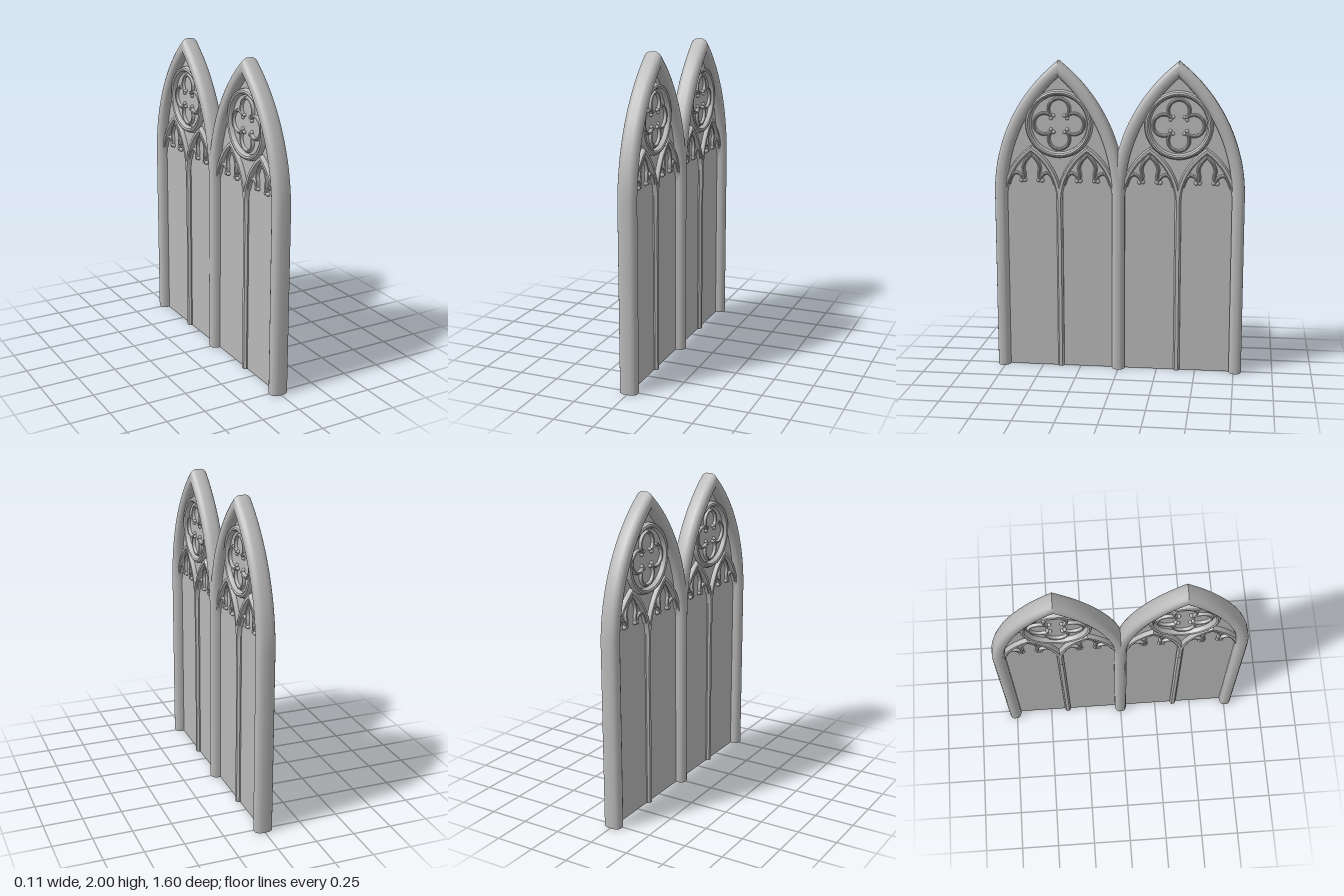
import * as THREE from 'three';
import { toCreasedNormals } from 'three/addons/utils/BufferGeometryUtils.js';

const V = (x, y) => new THREE.Vector2(x, y);

// Sweep a convex profile of (sideways, depth) points along a flat path with mitred corners
function sweep(path, profile, closed = false) {
  const n = path.length, m = profile.length, pos = [], idx = [];
  for (let i = 0; i < n; i++) {
    const p = path[i];
    const prev = closed ? path[(i + n - 1) % n] : path[Math.max(i - 1, 0)];
    const next = closed ? path[(i + 1) % n] : path[Math.min(i + 1, n - 1)];
    let a = p.clone().sub(prev).normalize(), b = next.clone().sub(p).normalize();
    if (a.lengthSq() === 0) a = b.clone();
    if (b.lengthSq() === 0) b = a.clone();
    const t = a.clone().add(b).normalize();
    const stretch = 1 / Math.max(t.dot(a), 0.4);
    for (const [u, d] of profile) pos.push(p.x - t.y * u * stretch, p.y + t.x * u * stretch, d);
  }
  for (let i = 0; i < (closed ? n : n - 1); i++) {
    const r = i * m, s = ((i + 1) % n) * m;
    for (let j = 0; j < m; j++) {
      const k = (j + 1) % m;
      idx.push(r + j, r + k, s + k, r + j, s + k, s + j);
    }
  }
  if (!closed) {
    const e = (n - 1) * m;
    for (let j = 1; j < m - 1; j++) idx.push(0, j + 1, j, e, e + j, e + j + 1);
  }
  const g = new THREE.BufferGeometry();
  g.setAttribute('position', new THREE.Float32BufferAttribute(pos, 3));
  g.setIndex(idx);
  return toCreasedNormals(g, 0.6);
}

// Points of a pointed arch: half width w, radius R, springing at y0, legs down to base
function lancet(cx, w, R, y0, base, steps) {
  const top = Math.acos((R - w) / R), right = [];
  if (base < y0) right.push(V(w, base));
  for (let i = 0; i <= steps; i++) {
    const a = top * i / steps;
    right.push(V(w - R + R * Math.cos(a), y0 + R * Math.sin(a)));
  }
  const left = right.slice(0, -1).reverse().map(p => V(-p.x, p.y));
  return [...right, ...left].map(p => V(p.x + cx, p.y));
}

function arc(cx, cy, r, from, to, steps) {
  return Array.from({ length: steps + 1 }, (_, i) => {
    const a = from + (to - from) * i / steps;
    return V(cx + r * Math.cos(a), cy + r * Math.sin(a));
  });
}

const roll = (w, d) => Array.from({ length: 12 }, (_, i) => {
  const a = i * Math.PI / 6;
  return [w * Math.cos(a), d * Math.sin(a)];
});
const chamfered = (w, d) => [[w, -0.45 * d], [w, 0.45 * d], [0.5 * w, d], [-0.5 * w, d],
  [-w, 0.45 * d], [-w, -0.45 * d], [-0.5 * w, -d], [0.5 * w, -d]];
const framePart = [[0.04, 0.022], [0.034, 0.038], [0.026, 0.05], [0.014, 0.056]];
const frameSide = [...framePart, ...framePart.map(([u, d]) => [-u, d]).reverse()];
const frameProfile = [...frameSide, ...frameSide.map(([u, d]) => [-u, -d])];

export function createModel() {
  const stone = new THREE.MeshStandardMaterial({ color: 0xb8b8b8 });
  stone.name = 'stone grey';
  const model = new THREE.Group();
  model.name = 'twinLancetWindow';

  function buildWindow() {
    const win = new THREE.Group();
    const add = (name, geometry) => {
      const mesh = new THREE.Mesh(geometry, stone);
      mesh.name = name;
      win.add(mesh);
      return mesh;
    };

    // Thin pane filling the arch
    const pane = new THREE.ExtrudeGeometry(new THREE.Shape(lancet(0, 0.38, 1.03, 1.15, 0, 18)),
      { depth: 0.008, bevelEnabled: false });
    add('pane', pane.translate(0, 0, -0.004));

    // Main arch with its posts, and the slim middle mullion
    add('archFrame', sweep(lancet(0, 0.38, 1.03, 1.15, 0, 18), frameProfile));
    add('mullion', sweep([V(0, 0), V(0, 1.16)], chamfered(0.02, 0.026)));

    // Round window: outer ring and four lobes
    const ring = arc(0, 1.6, 0.198, 0, Math.PI * 2, 48).slice(0, -1);
    add('roseRing', sweep(ring, roll(0.02, 0.036), true));
    for (let q = 0; q < 4; q++) {
      const a = q * Math.PI / 2;
      add('roseLobe', sweep(arc(0.094 * Math.cos(a), 1.6 + 0.094 * Math.sin(a), 0.067,
        a - Math.PI * 0.75, a + Math.PI * 0.75, 24), roll(0.011, 0.024)));
      // Paired knobs on each cusp between the lobes
      const c = a + Math.PI / 4;
      for (const s of [-1, 1]) {
        const knob = add('roseCuspKnob', new THREE.SphereGeometry(0.012, 12, 8));
        knob.position.set(0.062 * Math.cos(c) - s * 0.012 * Math.sin(c),
          1.6 + 0.062 * Math.sin(c) + s * 0.012 * Math.cos(c), 0);
        knob.scale.z = 2;
      }
    }

    // Two small arches with cusped heads
    for (const side of [-1, 1]) {
      const cx = 0.18 * side;
      add('smallArch', sweep(lancet(cx, 0.18, 0.411, 1.1, 1.0, 14), chamfered(0.017, 0.03)));
      for (const s of [-1, 1]) {
        const curve = pts => new THREE.SplineCurve(pts.map(([x, y]) => V(cx + s * x, y))).getPoints(14);
        add('cuspHead', sweep(curve([[0, 1.405], [0.036, 1.365], [0.054, 1.32], [0.047, 1.28], [0.05, 1.245]]),
          roll(0.012, 0.024)));
        add('cuspFoot', sweep(curve([[0.055, 1.24], [0.072, 1.272], [0.103, 1.284], [0.13, 1.262], [0.15, 1.21]]),
          roll(0.011, 0.024)));
        for (const [x, y] of [[0.045, 1.238], [0.066, 1.236]]) {
          const knob = add('cuspKnob', new THREE.SphereGeometry(0.015, 12, 8));
          knob.position.set(cx + s * x, y, 0);
          knob.scale.z = 1.7;
        }
      }
    }
    return win;
  }

  // Twin windows side by side, sharing the middle post
  const pair = new THREE.Group();
  pair.name = 'windowPair';
  for (const s of [-1, 1]) {
    const win = buildWindow();
    win.name = s < 0 ? 'frontWindow' : 'backWindow';
    win.position.x = 0.38 * s;
    pair.add(win);
  }
  pair.rotation.y = Math.PI / 2;
  model.add(pair);
  return model;
}
